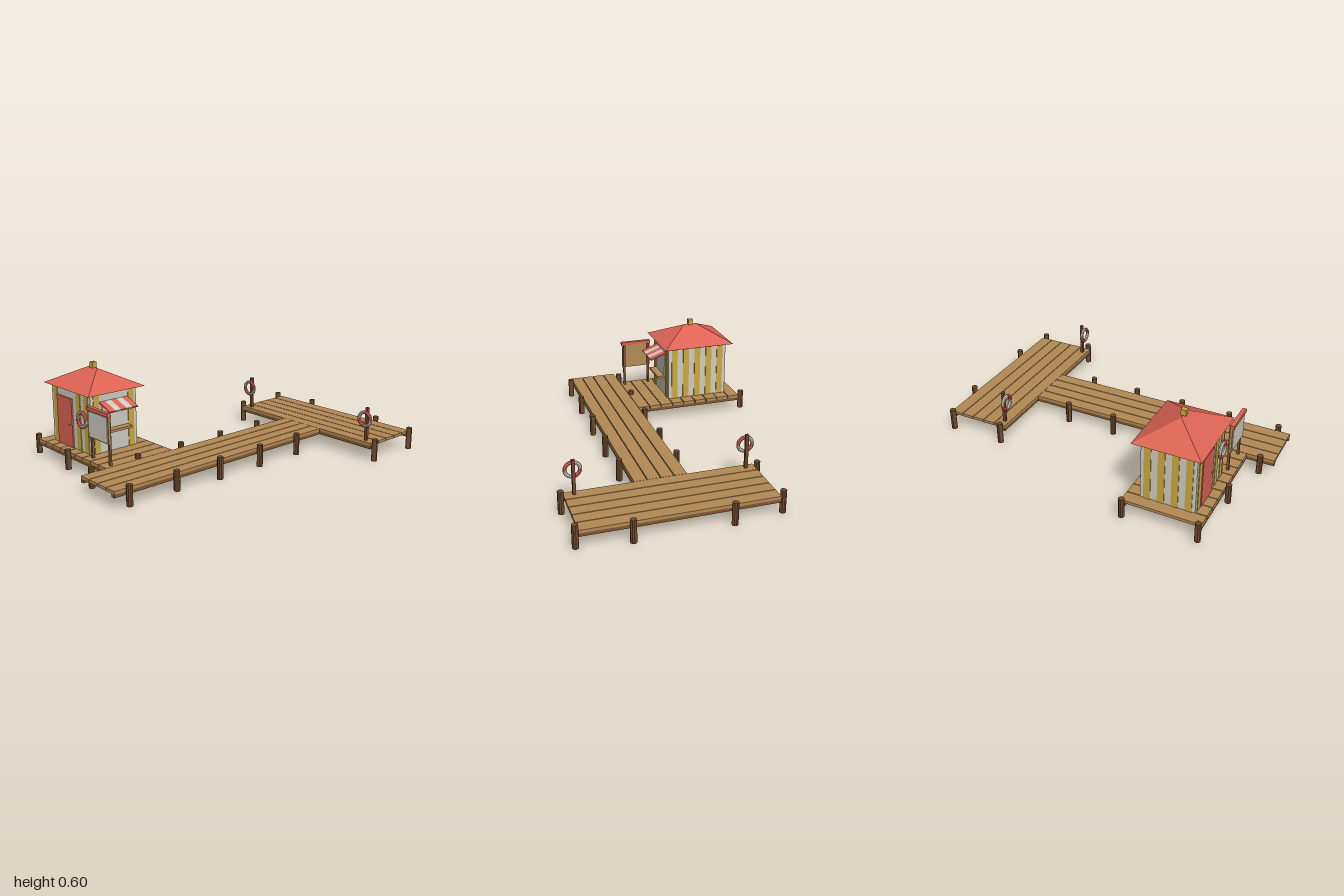
import * as THREE from 'three';

const mat = (name, color, extra = {}) => {
  const m = new THREE.MeshStandardMaterial({ color, flatShading: true, ...extra });
  m.name = name;
  return m;
};

export function createModel() {
  const wood = mat('plankWood', 0xb48a56);
  const beamWood = mat('beamWood', 0x80582f);
  const postWood = mat('postWood', 0x6f4a2d);
  const red = mat('red', 0xdc6353);
  const white = mat('offWhite', 0xd0ccc4);
  const yellow = mat('yellow', 0xcbaa3e);

  const model = new THREE.Group();
  model.name = 'pier';
  const group = (name) => {
    const g = new THREE.Group();
    g.name = name;
    model.add(g);
    return g;
  };
  const add = (parent, name, geometry, material, x = 0, y = 0, z = 0) => {
    const m = new THREE.Mesh(geometry, material);
    m.name = name;
    m.position.set(x, y, z);
    parent.add(m);
    return m;
  };
  // Box given by its limits on each axis
  const box = (parent, name, material, x0, x1, y0, y1, z0, z1) =>
    add(parent, name, new THREE.BoxGeometry(x1 - x0, y1 - y0, z1 - z0), material,
      (x0 + x1) / 2, (y0 + y1) / 2, (z0 + z1) / 2);

  const TOP = 0.11, PLANK = 0.092, BEAM = 0.073;

  // Decks: parallel planks on a beam under each edge
  function deck(name, x0, x1, z0, z1, count, split, beamAlong) {
    const g = group(name), gap = 0.005;
    const [a, b] = split === 'x' ? [x0, x1] : [z0, z1];
    const w = (b - a + gap) / count;
    for (let i = 0; i < count; i++) {
      const s = a + i * w, e = s + w - gap;
      if (split === 'x') box(g, 'plank', wood, s, e, PLANK, TOP, z0, z1);
      else box(g, 'plank', wood, x0, x1, PLANK, TOP, s, e);
    }
    const t = 0.025;
    if (beamAlong === 'x') {
      for (const z of [z0, z1 - t]) box(g, 'beam', beamWood, x0, x1, BEAM, PLANK, z, z + t);
    } else {
      for (const x of [x0, x1 - t]) box(g, 'beam', beamWood, x, x + t, BEAM, PLANK, z0, z1);
    }
  }
  deck('walkway', 0, 0.307, -0.575, 1, 4, 'x', 'z');
  deck('endPlatform', -0.39, 0.705, -0.965, -0.577, 5, 'z', 'x');
  deck('hutPlatform', -0.705, -0.003, 0.37, 0.835, 9, 'x', 'x');

  // Round mooring posts
  const posts = group('posts');
  const post = (x, z, y0) => add(posts, 'post',
    new THREE.CylinderGeometry(0.018, 0.018, 0.135 - y0, 10), postWood, x, (0.135 + y0) / 2, z);
  for (let i = 0; i < 5; i++) {
    const z = -0.34 + i * 0.315;
    for (const x of [-0.018, 0.327]) post(x, z, i > 2 ? 0.015 : 0);
  }
  for (const [x, z] of [[-0.41, -0.945], [-0.41, -0.6], [-0.12, -0.985],
    [0.43, -0.985], [0.72, -0.945], [0.72, -0.6]]) post(x, z, 0);
  for (const [x, z] of [[-0.725, 0.383], [-0.725, 0.825], [-0.355, 0.855]]) post(x, z, 0.015);

  // Hut walls with vertical stripes
  const hut = group('hut');
  const X0 = -0.633, X1 = -0.233, Z0 = 0.45, Z1 = 0.77, EAVE = 0.465;
  const CX = -0.433, CZ = 0.61, P = 0.004;
  box(hut, 'walls', white, X0, X1, TOP, EAVE, Z0, Z1);
  for (let i = -2; i <= 2; i++) {
    const x = CX + i * 0.079;
    box(hut, 'backStripe', yellow, x - 0.02, x + 0.02, TOP, EAVE, Z0 - P, Z0);
    if (i !== -1 && i !== 0) box(hut, 'frontStripe', yellow, x - 0.02, x + 0.02, TOP, EAVE, Z1, Z1 + P);
  }
  for (let i = 0; i < 4; i++) {
    const z = CZ + (i - 1.5) * 0.08;
    box(hut, 'rightStripe', yellow, X0 - P, X0, TOP, EAVE, z - 0.02, z + 0.02);
    if (i === 0 || i === 3) box(hut, 'leftStripe', yellow, X1, X1 + P, TOP, EAVE, z - 0.02, z + 0.02);
  }

  // Door and knob
  box(hut, 'door', red, -0.57, -0.415, TOP, 0.407, Z1, Z1 + 0.009);
  add(hut, 'doorKnob', new THREE.SphereGeometry(0.007, 8, 6), yellow, -0.437, 0.252, Z1 + 0.013);

  // Serving window, counter and striped awning
  box(hut, 'window', white, X1, X1 + 0.005, 0.25, 0.385, 0.525, 0.692);
  box(hut, 'counter', wood, X1, -0.18, 0.235, 0.25, 0.518, 0.7);
  const awning = new THREE.Group();
  awning.name = 'awning';
  awning.position.set(X1, 0.413, CZ);
  awning.rotation.z = -Math.atan2(0.037, 0.103);
  hut.add(awning);
  for (let i = 0; i < 5; i++) {
    const z = (i - 2.5) * 0.039;
    box(awning, 'awningStripe', i % 2 ? white : red, 0, 0.109, -0.007, 0.002, z, z + 0.039);
  }

  // Hipped roof with a short ridge
  const A = [-0.67, EAVE, 0.803], B = [-0.198, EAVE, 0.803];
  const C = [-0.198, EAVE, 0.408], D = [-0.67, EAVE, 0.408];
  const E = [-0.474, 0.568, 0.605], F = [-0.394, 0.568, 0.605];
  const faces = [A, B, F, A, F, E, B, C, F, C, D, E, C, E, F, D, A, E, A, D, C, A, C, B];
  const roof = new THREE.BufferGeometry();
  roof.setAttribute('position', new THREE.Float32BufferAttribute(faces.flat(), 3));
  roof.computeVertexNormals();
  add(hut, 'roof', roof, red);
  box(hut, 'finial', yellow, -0.449, -0.419, 0.565, 0.6, 0.59, 0.62);

  // Lifebuoys in four alternating quarters
  function lifebuoy(x, y, z) {
    const g = group('lifebuoy');
    g.position.set(x, y, z);
    for (let i = 0; i < 4; i++) {
      const q = add(g, 'buoyQuarter',
        new THREE.TorusGeometry(0.042, 0.011, 8, 6, Math.PI / 2), i % 2 ? white : red);
      q.rotation.z = i * Math.PI / 2;
    }
  }
  lifebuoy(-0.3, 0.31, 0.785);
  for (const x of [-0.337, 0.647]) {
    box(group('buoyStand'), 'buoyPost', postWood, x - 0.009, x + 0.009, TOP, 0.315, -0.617, -0.599);
    lifebuoy(x, 0.247, -0.587);
  }

  // Notice board with a red cap
  const board = group('noticeBoard');
  for (const x of [-0.195, -0.025])
    box(board, 'boardPost', beamWood, x - 0.007, x + 0.007, TOP, 0.395, 0.782, 0.796);
  box(board, 'boardFrame', wood, -0.207, -0.013, 0.235, 0.395, 0.793, 0.803);
  box(board, 'boardPanel', white, -0.199, -0.021, 0.244, 0.388, 0.803, 0.807);
  box(board, 'boardCap', red, -0.21, -0.008, 0.394, 0.415, 0.787, 0.812);

  return model;
}
